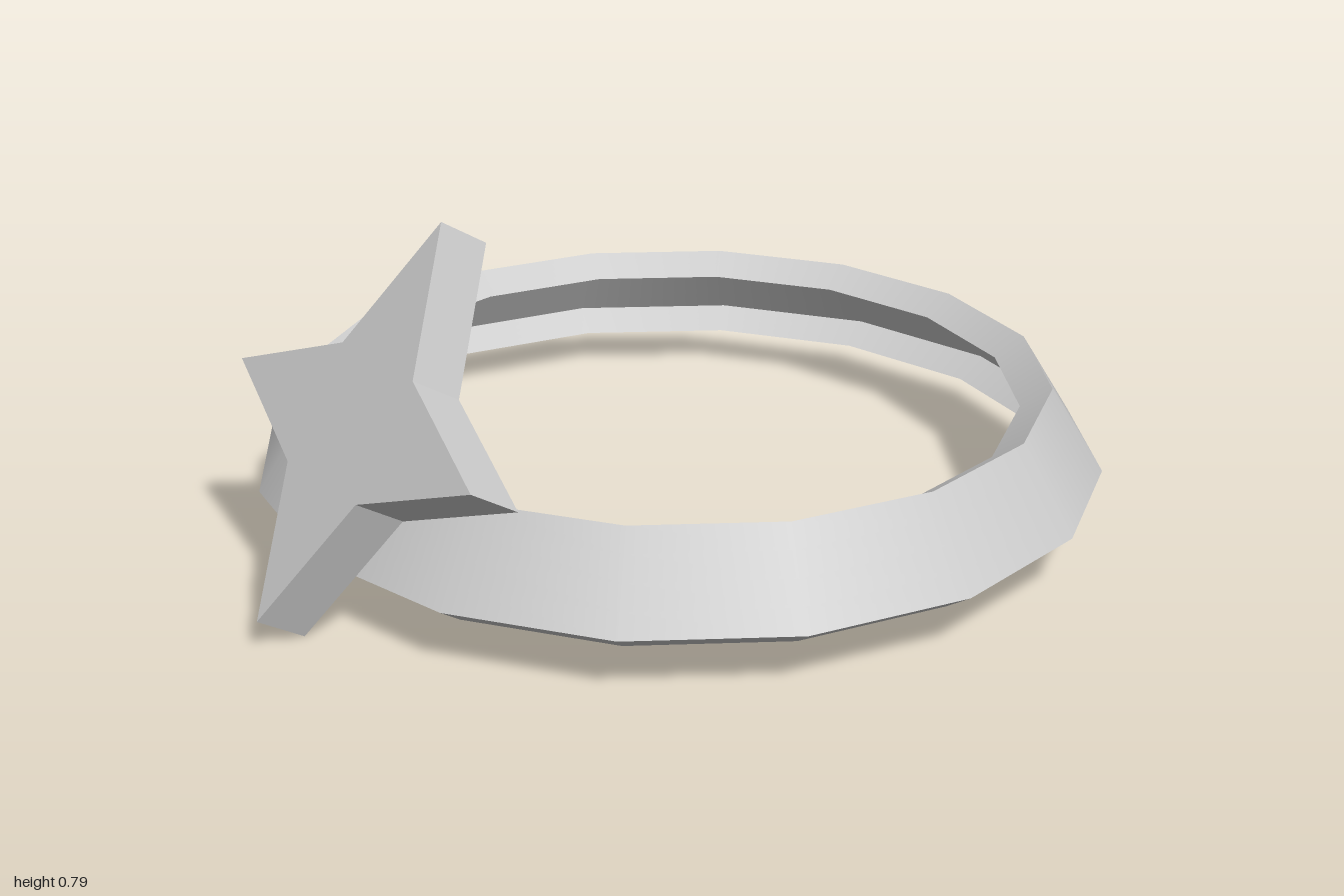
import * as THREE from 'three';

export function createModel() {
  const model = new THREE.Group();
  const metal = new THREE.MeshStandardMaterial({ color: 0xcccccc, side: THREE.DoubleSide });
  metal.name = 'pale grey metal';

  // Band: thin channel open towards the inside, one lathe per face to keep its edges sharp
  const band = new THREE.Group();
  band.name = 'band';
  const section = [[0.85, 0.083], [0.915, 0.126], [0.8, 0.31], [0.733, 0.266]].map((p) => new THREE.Vector2(...p));
  const rows = 4;
  ['bandBottom', 'bandOuter', 'bandTop'].forEach((name, i) => {
    const profile = [];
    for (let j = 0; j <= rows; j++) profile.push(section[i].clone().lerp(section[i + 1], j / rows));
    const face = new THREE.Mesh(new THREE.LatheGeometry(profile, 16), metal);
    face.name = name;
    band.add(face);
  });
  band.position.z = -0.085;
  model.add(band);

  // Four-pointed star leaning back against the front of the band
  const outer = 0.427, inner = 0.183, depth = 0.121;
  const points = [];
  for (let i = 0; i < 8; i++) {
    const a = (i * Math.PI) / 4, r = i % 2 ? inner : outer;
    points.push(new THREE.Vector2(r * Math.cos(a), r * Math.sin(a)));
  }
  const starGeometry = new THREE.ExtrudeGeometry(new THREE.Shape(points), { depth, bevelEnabled: false });
  starGeometry.translate(0, 0, -depth);
  const star = new THREE.Mesh(starGeometry, metal);
  star.name = 'star';
  star.position.set(0.064, 0.427, 0.775);
  star.rotation.x = -0.554;
  model.add(star);

  return model;
}
